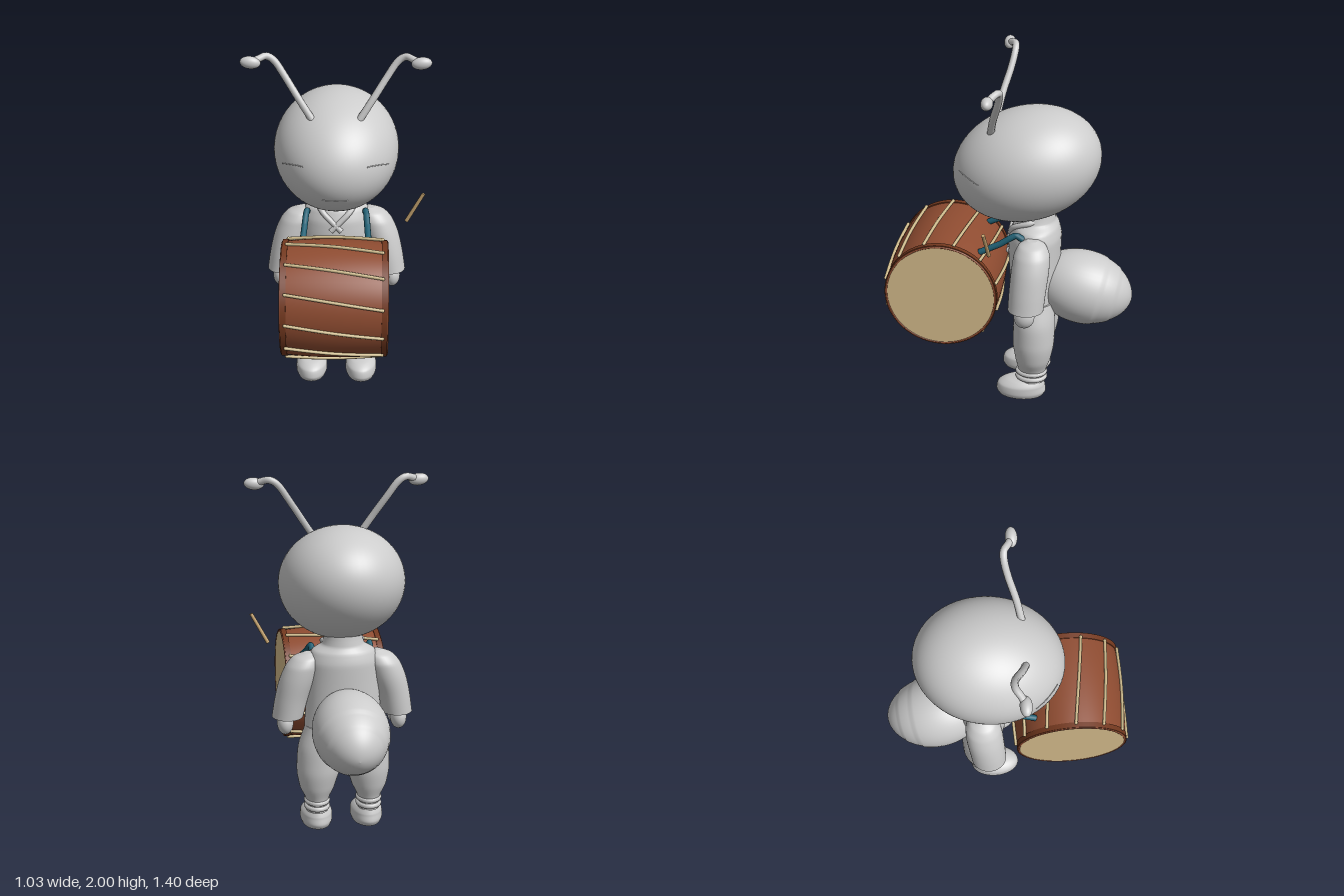
import * as THREE from 'three';

const material = (name, color, extra = {}) => {
  const m = new THREE.MeshStandardMaterial({ color, ...extra });
  m.name = name;
  return m;
};
const V = (x, y, z) => new THREE.Vector3(x, y, z);

// Smooth body from oval rings, listed from bottom to top: [y, centreX, radiusX, radiusZ, centreZ]
function loft(rings, steps = 28, sides = 36) {
  const centre = new THREE.CatmullRomCurve3(rings.map(r => V(r[1], r[0], r[4])));
  const radius = new THREE.CatmullRomCurve3(rings.map(r => V(r[2], 0, r[3])));
  const pos = [], idx = [];
  const addRing = t => {
    const c = centre.getPoint(t), r = radius.getPoint(t);
    for (let j = 0; j < sides; j++) {
      const a = (j / sides) * Math.PI * 2;
      pos.push(c.x + r.x * Math.cos(a), c.y, c.z + r.z * Math.sin(a));
    }
    return c;
  };
  for (let i = 0; i <= steps; i++) addRing(i / steps);
  for (let i = 0; i < steps; i++) {
    for (let j = 0; j < sides; j++) {
      const a = i * sides + j, b = i * sides + (j + 1) % sides;
      idx.push(a, a + sides, b, b, a + sides, b + sides);
    }
  }
  // separate cap vertices keep the rims sharp
  for (const t of [0, 1]) {
    const start = pos.length / 3, c = addRing(t), mid = start + sides;
    pos.push(c.x, c.y, c.z);
    for (let j = 0; j < sides; j++) {
      const a = start + j, b = start + (j + 1) % sides;
      if (t) idx.push(mid, b, a); else idx.push(mid, a, b);
    }
  }
  const g = new THREE.BufferGeometry();
  g.setAttribute('position', new THREE.Float32BufferAttribute(pos, 3));
  g.setIndex(idx);
  g.computeVertexNormals();
  return g;
}

const tube = (points, r, smooth = true, segs = 32) => new THREE.TubeGeometry(
  new THREE.CatmullRomCurve3(points, false, 'catmullrom', smooth ? 0.5 : 0.05), segs, r, 10);

export function createModel() {
  const body = material('body grey', 0xcccccc);
  const wood = material('drum wood', 0x8f4c31);
  const rimWood = material('drum rim', 0x74391f);
  const hide = material('drum skin', 0xd9bf8e);
  const cord = material('drum cord', 0xcdba8c);
  const strapBlue = material('strap teal', 0x1f6074);
  const stickWood = material('stick wood', 0xc6a470);

  const model = new THREE.Group();
  const add = (name, geo, mat, parent = model) => {
    const m = new THREE.Mesh(geo, mat);
    m.name = name;
    parent.add(m);
    return m;
  };
  const ellipsoid = (name, p, r, mat = body) => {
    const m = add(name, new THREE.SphereGeometry(1, 40, 28), mat);
    m.position.set(...p);
    m.scale.set(...r);
    return m;
  };

  // Head, tilted forward
  const head = ellipsoid('head', [0, 1.425, -0.09], [0.35, 0.313, 0.421]);
  head.geometry = new THREE.SphereGeometry(1, 64, 48);
  head.rotation.x = 0.31;
  head.updateMatrixWorld();

  // Closed eyes and mouth, laid on the head surface
  const onFace = (x, y) => new THREE.Raycaster(V(x, y, 2), V(0, 0, -1)).intersectObject(head)[0].point;
  const faceLine = (name, pts) => add(name, tube(pts.map(p => onFace(...p)), 0.003), body);
  faceLine('mouth', [[-0.07, 1.25], [-0.035, 1.25], [0, 1.25], [0.035, 1.25], [0.07, 1.25]]);

  // Torso, neck and hips
  add('torso', loft([
    [0.52, 0, 0.19, 0.1, -0.155], [0.6, 0, 0.22, 0.142, -0.14], [0.75, 0, 0.21, 0.145, -0.14],
    [0.9, 0, 0.205, 0.15, -0.138], [0.99, 0, 0.2, 0.148, -0.142], [1.055, 0, 0.175, 0.13, -0.145],
    [1.09, 0, 0.12, 0.11, -0.145], [1.13, 0, 0.108, 0.104, -0.145], [1.22, 0, 0.1, 0.1, -0.14],
  ], 40), body);
  for (const x of [-0.018, 0.018]) ellipsoid('jacketKnot', [x, 0.88, 0.008], [0.022, 0.018, 0.018]);

  // Abdomen with two stepped bands
  const profile = [];
  for (let i = 0; i <= 60; i++) {
    const a = -Math.PI / 2 + (i / 60) * Math.PI;
    const y = 0.29 * Math.sin(a);
    const step = (y > 0.098 ? 0.005 : 0) + (y > 0.194 ? 0.005 : 0);
    profile.push(new THREE.Vector2(Math.max(0, 0.213 * Math.cos(a) - step), y));
  }
  const abdomen = add('abdomen', new THREE.LatheGeometry(profile, 48), body);
  abdomen.position.set(0, 0.66, -0.418);
  abdomen.rotation.x = -(Math.PI / 2 + 0.235);

  // Paired parts
  for (const s of [1, -1]) {
    const side = s > 0 ? 'left' : 'right';
    faceLine(side + 'Eye', [[0.17, 1.435], [0.21, 1.433], [0.25, 1.425], [0.29, 1.41]].map(p => [s * p[0], p[1]]));

    add(side + 'Antenna', tube([
      V(s * 0.125, 1.64, 0.095), V(s * 0.2, 1.755, 0.07), V(s * 0.275, 1.87, 0.035),
      V(s * 0.33, 1.95, 0.018), V(s * 0.375, 1.98, 0.02), V(s * 0.415, 1.972, 0.045), V(s * 0.45, 1.957, 0.062),
    ], 0.02, true, 48), body);
    ellipsoid(side + 'AntennaTip', [s * 0.46, 1.956, 0.064], [0.056, 0.034, 0.032]).rotation.z = s * 0.1;

    add(side + 'Sleeve', loft([
      [0.67, s * 0.312, 0.088, 0.1, -0.122], [0.78, s * 0.29, 0.093, 0.103, -0.13],
      [0.89, s * 0.257, 0.1, 0.105, -0.14], [0.97, s * 0.228, 0.095, 0.1, -0.145],
      [1.02, s * 0.205, 0.075, 0.075, -0.145], [1.045, s * 0.19, 0.03, 0.03, -0.145],
    ]), body);
    ellipsoid(side + 'Hand', [s * 0.325, 0.625, -0.115], [0.046, 0.066, 0.058]);
    ellipsoid(side + 'Thumb', [s * 0.29, 0.63, -0.07], [0.02, 0.04, 0.022]);

    add(side + 'Leg', loft([
      [0.1, s * 0.15, 0.062, 0.078, -0.142], [0.165, s * 0.15, 0.064, 0.08, -0.143],
      [0.25, s * 0.15, 0.1, 0.102, -0.148], [0.36, s * 0.143, 0.124, 0.12, -0.15],
      [0.48, s * 0.133, 0.127, 0.12, -0.152], [0.62, s * 0.115, 0.1, 0.11, -0.15],
    ]), body);
    for (const y of [0.125, 0.16]) {
      const cuff = add(side + 'AnkleWrap', new THREE.TorusGeometry(0.058, 0.017, 10, 32), body);
      cuff.rotation.x = Math.PI / 2;
      cuff.position.set(s * 0.15, y, -0.14);
      cuff.scale.set(1, 1.25, 1);
    }
    add(side + 'Shoe', loft([
      [0, s * 0.147, 0.082, 0.132, -0.08], [0.03, s * 0.147, 0.092, 0.146, -0.08],
      [0.07, s * 0.147, 0.09, 0.138, -0.082], [0.098, s * 0.147, 0.07, 0.11, -0.1],
      [0.115, s * 0.147, 0.035, 0.05, -0.13],
    ]), body);

    // Jacket collar, crossing at the chest
    add(side + 'Collar', tube([
      V(s * 0.08, 1.11, -0.17), V(s * 0.11, 1.1, -0.11), V(s * 0.08, 1.06, -0.025),
      V(s * 0.02, 1.0, 0.0), V(-s * 0.03, 0.95, 0.006),
    ], 0.016), body);

    // Strap from the shoulder to the drum
    add(side + 'Strap', tube([
      V(s * 0.165, 1.03, -0.09), V(s * 0.167, 1.056, -0.05), V(s * 0.172, 1.04, -0.02),
      V(s * 0.177, 1.0, 0.04), V(s * 0.185, 0.945, 0.155),
    ], 0.018, false), strapBlue);
  }

  // Drum: built along y, then laid on its side so y becomes x
  const drum = new THREE.Group();
  drum.name = 'drum';
  drum.position.set(0, 0.706, 0.363);
  drum.rotation.z = -Math.PI / 2;
  model.add(drum);
  const barrel = [];
  for (let i = 0; i <= 16; i++) {
    const y = -0.265 + (i / 16) * 0.53;
    barrel.push(new THREE.Vector2(0.327 - 0.2 * y * y, y));
  }
  add('drumShell', new THREE.LatheGeometry(barrel, 72), wood, drum);
  for (const s of [1, -1]) {
    const rim = add('drumRim', new THREE.CylinderGeometry(0.32, 0.32, 0.031, 72), rimWood, drum);
    rim.position.y = s * 0.2705;
    const skin = add('drumSkin', new THREE.CylinderGeometry(0.307, 0.307, 0.02, 72), hide, drum);
    skin.position.y = s * 0.279;
    const bead = add('skinEdge', new THREE.TorusGeometry(0.309, 0.006, 8, 72), wood, drum);
    bead.rotation.x = Math.PI / 2;
    bead.position.y = s * 0.286;
  }

  // Slanted cords around the shell
  for (let i = 0; i < 12; i++) {
    const at = (x, deg, r) => {
      const a = THREE.MathUtils.degToRad(deg + i * 30);
      return V(x, 0.706 + r * Math.sin(a), 0.363 + r * Math.cos(a));
    };
    add('drumCord', tube([at(-0.26, -2, 0.325), at(-0.13, -5.5, 0.331), at(0, -9, 0.334),
      at(0.13, -12.5, 0.331), at(0.26, -16, 0.325)], 0.009, true, 20), cord);
    for (const [x, deg] of [[-0.26, -2], [0.26, -16]]) {
      const end = ellipsoid('cordEnd', [0, 0, 0], [0.01, 0.01, 0.01], cord);
      end.geometry = new THREE.SphereGeometry(1, 10, 8);
      end.position.copy(at(x, deg, 0.325));
    }
  }

  // Drumstick
  const a = V(0.395, 1.045, 0.07), b = V(0.487, 1.215, 0.086);
  const stick = add('drumStick', new THREE.CylinderGeometry(0.01, 0.011, a.distanceTo(b), 16), stickWood);
  stick.position.copy(a).add(b).multiplyScalar(0.5);
  stick.quaternion.setFromUnitVectors(V(0, 1, 0), b.clone().sub(a).normalize());

  return model;
}
